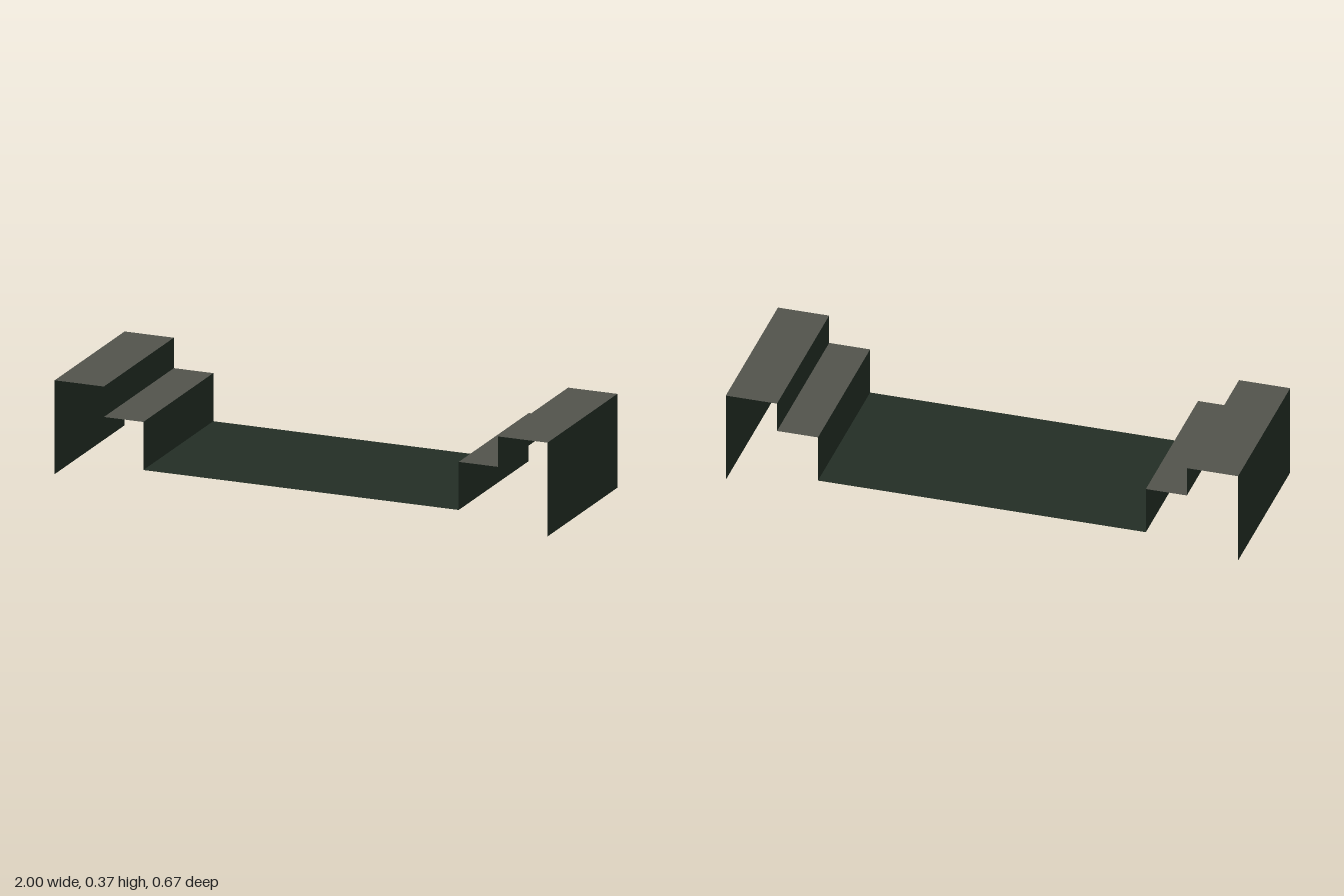
import * as THREE from 'three';

const DEPTH = 0.667;

export function createModel() {
  const model = new THREE.Group();
  model.name = 'foldedStand';

  const green = new THREE.MeshStandardMaterial({ color: 0x232e25, side: THREE.DoubleSide });
  green.name = 'darkGreen';
  const grey = new THREE.MeshStandardMaterial({ color: 0x52534c, side: THREE.DoubleSide });
  grey.name = 'warmGrey';

  // Level sheet between two x positions, facing up
  function level(name, x0, x1, y, material) {
    const geometry = new THREE.PlaneGeometry(Math.abs(x1 - x0), DEPTH).rotateX(-Math.PI / 2);
    const mesh = new THREE.Mesh(geometry, material);
    mesh.position.set((x0 + x1) / 2, y, 0);
    mesh.name = name;
    model.add(mesh);
  }

  // Upright sheet between two heights, facing the given side
  function upright(name, x, y0, y1, facing) {
    const geometry = new THREE.PlaneGeometry(DEPTH, y1 - y0).rotateY(facing * Math.PI / 2);
    const mesh = new THREE.Mesh(geometry, green);
    mesh.position.set(x, (y0 + y1) / 2, 0);
    mesh.name = name;
    model.add(mesh);
  }

  // Sunken floor
  level('floor', -0.64, 0.64, 0.06, green);

  // Stepped end on each side: riser, lower tread, riser, upper tread, outer wall
  for (const [side, s] of [['left', 1], ['right', -1]]) {
    upright(side + 'LowerRiser', s * 0.64, 0.06, 0.248, -s);
    level(side + 'LowerTread', s * 0.64, s * 0.8, 0.248, grey);
    upright(side + 'UpperRiser', s * 0.8, 0.248, 0.367, -s);
    level(side + 'UpperTread', s * 0.8, s, 0.367, grey);
    upright(side + 'OuterWall', s, 0, 0.367, s);
  }
  return model;
}
